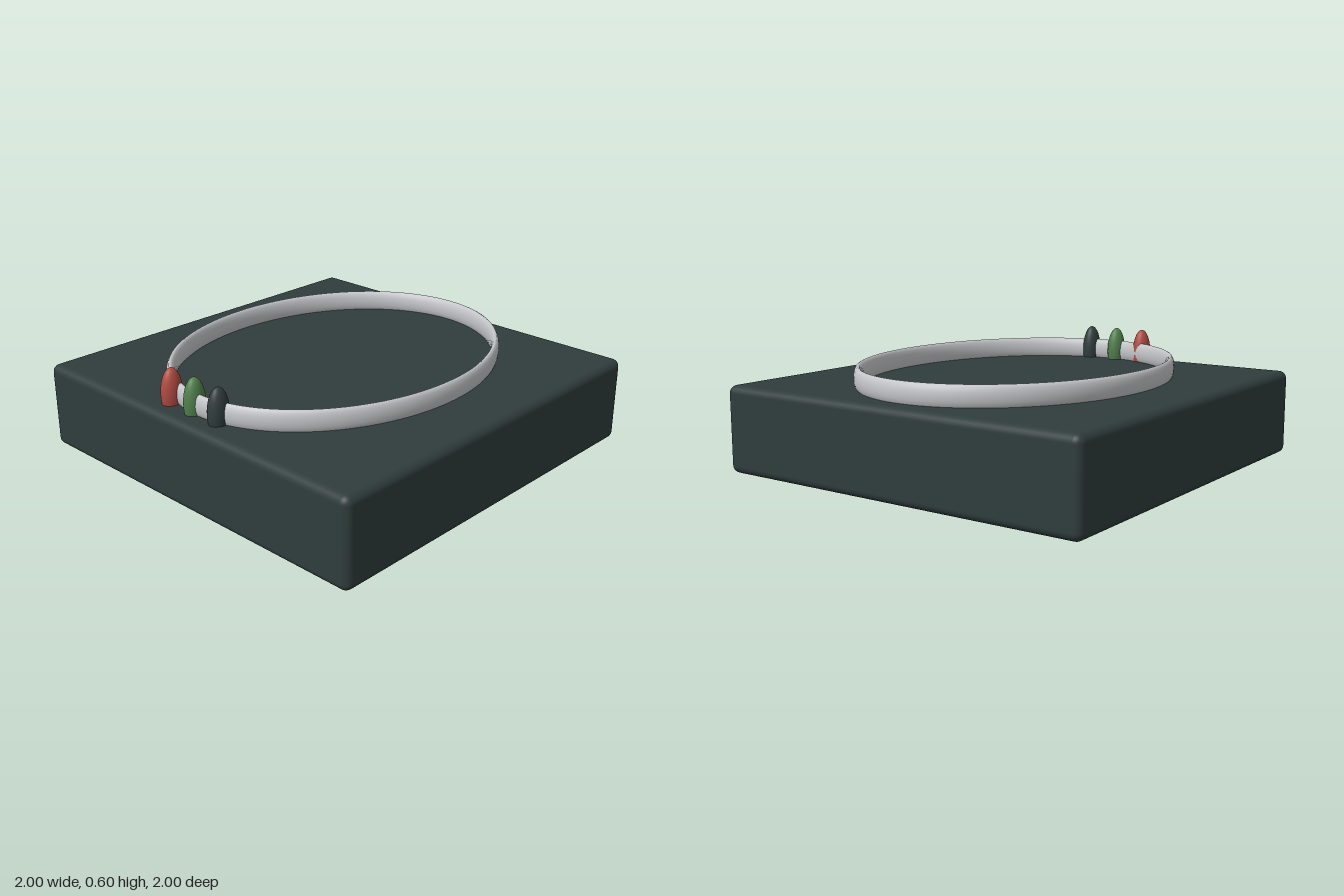
import * as THREE from 'three';
import { RoundedBoxGeometry } from 'three/addons/geometries/RoundedBoxGeometry.js';

const material = (name, color) => {
  const m = new THREE.MeshStandardMaterial({ color });
  m.name = name;
  return m;
};

export function createModel() {
  const model = new THREE.Group();
  model.name = 'bangleOnStand';

  const slate = material('dark slate', 0x2f3d3c);
  const silver = material('silver', 0xc4c6c9);
  const red = material('red', 0xb04a40);
  const green = material('green', 0x4f7f4c);

  const add = (name, geometry, mat) => {
    const mesh = new THREE.Mesh(geometry, mat);
    mesh.name = name;
    model.add(mesh);
    return mesh;
  };

  // Square display block with softened edges
  const baseHeight = 0.43;
  add('base', new RoundedBoxGeometry(2, baseHeight, 2, 5, 0.04), slate)
    .position.y = baseHeight / 2;

  // Oval band: a unit ring stretched along z and made taller than it is thick
  const centreY = 0.475;
  const tube = 0.028;
  const ring = new THREE.TorusGeometry(1, tube, 16, 128);
  ring.rotateX(Math.PI / 2);
  ring.scale(0.7, 0.055 / tube, 0.88);
  add('bangle', ring, silver).position.y = centreY;

  // Three tall beads threaded on the front of the band
  const beads = [['redBead', -0.2, red], ['greenBead', -0.04, green], ['darkBead', 0.12, slate]];
  const beadGeometry = new THREE.SphereGeometry(1, 32, 20);
  beadGeometry.scale(0.045, 0.125, 0.055);
  for (const [name, x, mat] of beads) {
    add(name, beadGeometry, mat).position.set(x, centreY, 0.875);
  }

  return model;
}
